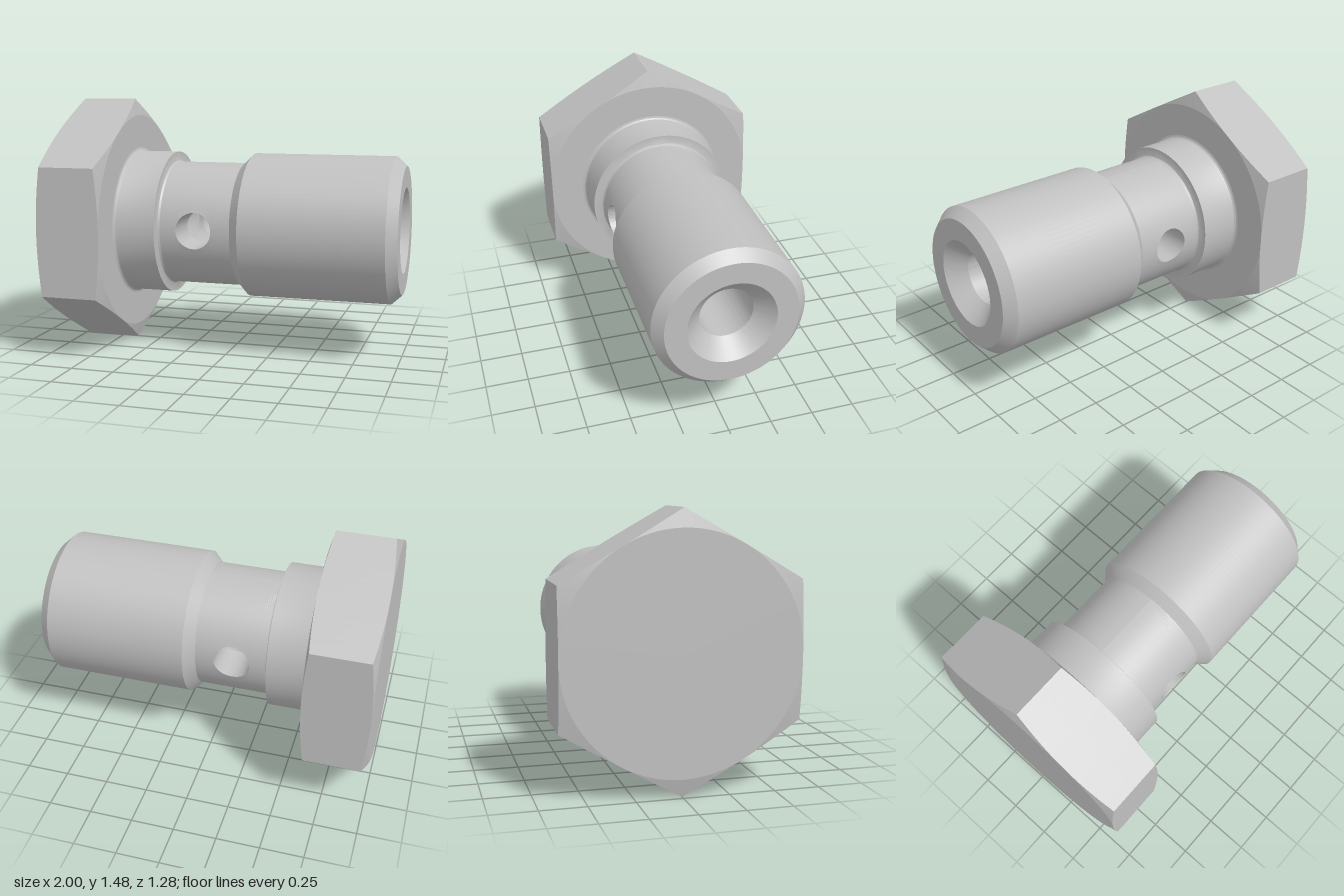
import * as THREE from 'three';
import { toCreasedNormals } from 'three/addons/utils/BufferGeometryUtils.js';

const SEG = 96;
const AXIS_Y = 0.74;                       // height of the bolt axis
const NECK_R = 0.365, BORE_R = 0.15;
const HOLE_R = 0.105, HOLE_X = -0.16;      // cross hole

// Profile of [x, radius] pairs turned about the x axis
function turned(profile) {
  const pts = profile.map(([x, r]) => new THREE.Vector2(r, x));
  return new THREE.LatheGeometry(pts, SEG).rotateZ(-Math.PI / 2);
}

// Quad grid from a point function f(i, k)
function grid(rows, cols, f) {
  const pos = [], index = [];
  for (let i = 0; i <= rows; i++) for (let k = 0; k <= cols; k++) pos.push(...f(i, k));
  for (let i = 0; i < rows; i++) {
    for (let k = 0; k < cols; k++) {
      const a = i * (cols + 1) + k, b = a + 1, d = a + cols + 1, c = d + 1;
      index.push(a, b, c, a, c, d);
    }
  }
  const g = new THREE.BufferGeometry();
  g.setAttribute('position', new THREE.Float32BufferAttribute(pos, 3));
  g.setIndex(index);
  return g;
}

const STEPS = SEG * 2;
const holeAngle = (i) => -Math.PI / 4 + (i / STEPS) * Math.PI * 2;

// Point i on the border of a unit square, counterclockwise from its lower right corner
function square(i) {
  const side = Math.floor((i % STEPS) / (STEPS / 4));
  const s = ((i % (STEPS / 4)) / (STEPS / 4)) * 2 - 1;
  return [[1, s], [-s, 1], [-1, -s], [s, -1]][side];
}

// Half cylinder wall with the round cross hole cut through it
function holedWall(radius, x0, x1, inward) {
  const K = 12;
  return grid(STEPS, K, (i, k) => {
    const t = holeAngle(i), f = (inward ? K - k : k) / K;
    const [sx, sy] = square(i);
    const edgeX = sx * (x1 - x0) / 2 + (x0 + x1) / 2;
    const x = THREE.MathUtils.lerp(HOLE_X + HOLE_R * Math.cos(t), edgeX, f);
    const a = THREE.MathUtils.lerp(Math.asin(HOLE_R * Math.sin(t) / radius), sy * Math.PI / 2, f);
    return [x, radius * Math.sin(a), radius * Math.cos(a)];
  });
}

// Wall of the cross hole, from the bore out to the neck surface
function holeWall() {
  return grid(STEPS, 1, (i, k) => {
    const t = holeAngle(i), y = HOLE_R * Math.sin(t), R = k ? NECK_R : BORE_R;
    return [HOLE_X + HOLE_R * Math.cos(t), y, Math.sqrt(R * R - y * y)];
  });
}

// Hexagon with chamfered corners, made by pushing a turned disc out to six flats
function hexHead(x0, x1, apothem) {
  const pts = [[0, x0], [apothem, x0], [apothem, x0], [apothem, x1], [apothem, x1], [0, x1]];
  const g = new THREE.LatheGeometry(pts.map((p) => new THREE.Vector2(...p)), SEG);
  const p = g.attributes.position;
  for (let v = 0; v < p.count; v++) {
    const ring = v % pts.length;
    if (ring !== 2 && ring !== 3) continue;
    const phi = Math.floor(v / pts.length) / SEG * Math.PI * 2;
    const sector = Math.PI / 3;
    const r = apothem / Math.cos(phi - Math.round(phi / sector) * sector);
    const inset = 0.26 * (r - apothem);
    p.setXYZ(v, r * Math.sin(phi), ring === 2 ? x0 + inset : x1 - inset, r * Math.cos(phi));
  }
  return g.rotateZ(-Math.PI / 2);
}

export function createModel() {
  const steel = new THREE.MeshStandardMaterial({ color: 0xc0c0c0 });
  const model = new THREE.Group();
  model.name = 'hollowBolt';

  function add(name, geometry, crease = 0.45) {
    const mesh = new THREE.Mesh(toCreasedNormals(geometry, crease), steel);
    mesh.name = name;
    mesh.position.y = AXIS_Y;
    model.add(mesh);
    return mesh;
  }

  add('hexHead', hexHead(-1, -0.62, 0.642), 0.2);

  // Collar under the head, with small fillets at both ends
  add('collar', turned([
    [-0.62, 0.447], [-0.617, 0.436], [-0.61, 0.428], [-0.6, 0.425],
    [-0.375, 0.425], [-0.375, 0.38], [-0.371, 0.371], [-0.36, NECK_R],
  ]));

  // Shank, end chamfer, countersink and front of the bore
  add('shank', turned([
    [0.055, NECK_R], [0.115, 0.425], [0.94, 0.425], [1, 0.37],
    [1, 0.248], [0.9, BORE_R], [-0.03, BORE_R],
  ]));

  // Drill point closing the bore
  add('boreEnd', turned([[-0.29, BORE_R], [-0.375, 0]]));

  // Neck, bore and cross hole: one half facing the front, one turned to the back
  for (const [side, turn] of [['Front', 0], ['Back', Math.PI]]) {
    add('neck' + side, holedWall(NECK_R, -0.36, 0.055, false)).rotation.x = turn;
    add('boreWall' + side, holedWall(BORE_R, -0.29, -0.03, true)).rotation.x = turn;
    add('crossHole' + side, holeWall()).rotation.x = turn;
  }
  return model;
}
